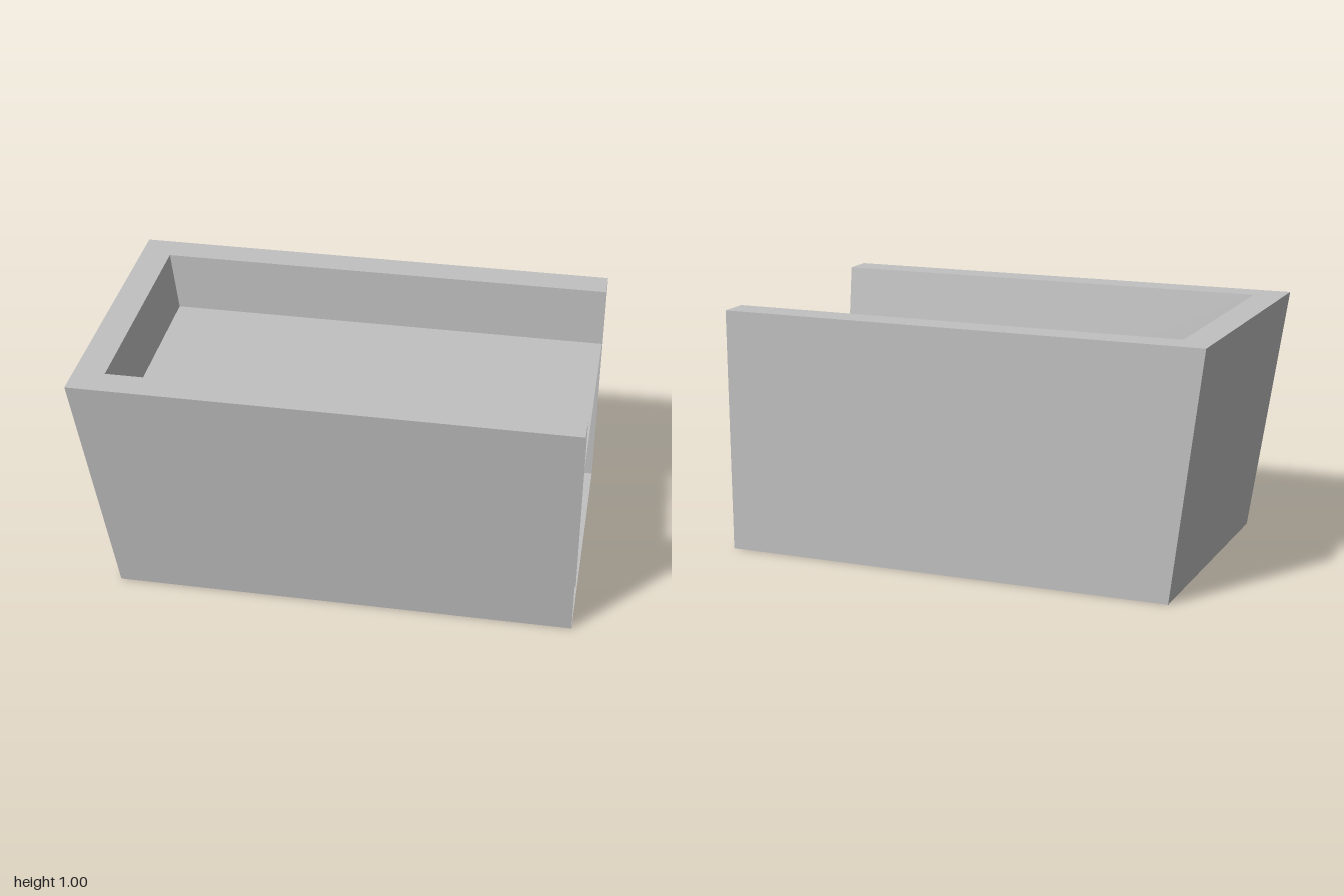
import * as THREE from 'three';

const THICKNESS = 0.125;
const SLOPE = 0.125;

// Corners of the trough at height y: open end, back, sloping end, sloping front
function outline(y, inset) {
  const left = -0.875 - SLOPE * y + inset;
  const back = -0.625 + inset;
  const front = 0.5 + SLOPE * y - inset;
  return [[1, y, back], [left, y, back], [left, y, front], [1, y, front]];
}

// One flat sheet per quad
function quads(list) {
  const positions = [];
  for (const [a, b, c, d] of list) positions.push(...a, ...b, ...c, ...a, ...c, ...d);
  const geometry = new THREE.BufferGeometry();
  geometry.setAttribute('position', new THREE.Float32BufferAttribute(positions, 3));
  geometry.computeVertexNormals();
  return geometry;
}

// Three panels joining two outlines, leaving the +x end open
function panels(from, to) {
  return quads([0, 1, 2].map((i) => [from[i], from[i + 1], to[i + 1], to[i]]));
}

export function createModel() {
  const group = new THREE.Group();
  group.name = 'trough';
  const grey = new THREE.MeshStandardMaterial({ color: 0xc0c0c0, side: THREE.DoubleSide });
  grey.name = 'plain grey';

  const add = (name, geometry) => {
    const mesh = new THREE.Mesh(geometry, grey);
    mesh.name = name;
    group.add(mesh);
  };

  const outerBottom = outline(0, 0);
  const outerTop = outline(1, 0);
  const innerTop = outline(1, THICKNESS);
  const innerBottom = outline(0.13, THICKNESS);

  add('outerWalls', panels(outerBottom, outerTop));
  add('topRim', panels(outerTop, innerTop));
  // Inner lining hangs from the rim and stops short of the base
  add('innerWalls', panels(innerTop, innerBottom));
  add('base', quads([[...outerBottom].reverse()]));
  // Raised sheet filling the inside
  add('fillSurface', quads([outline(0.75, THICKNESS)]));

  return group;
}
